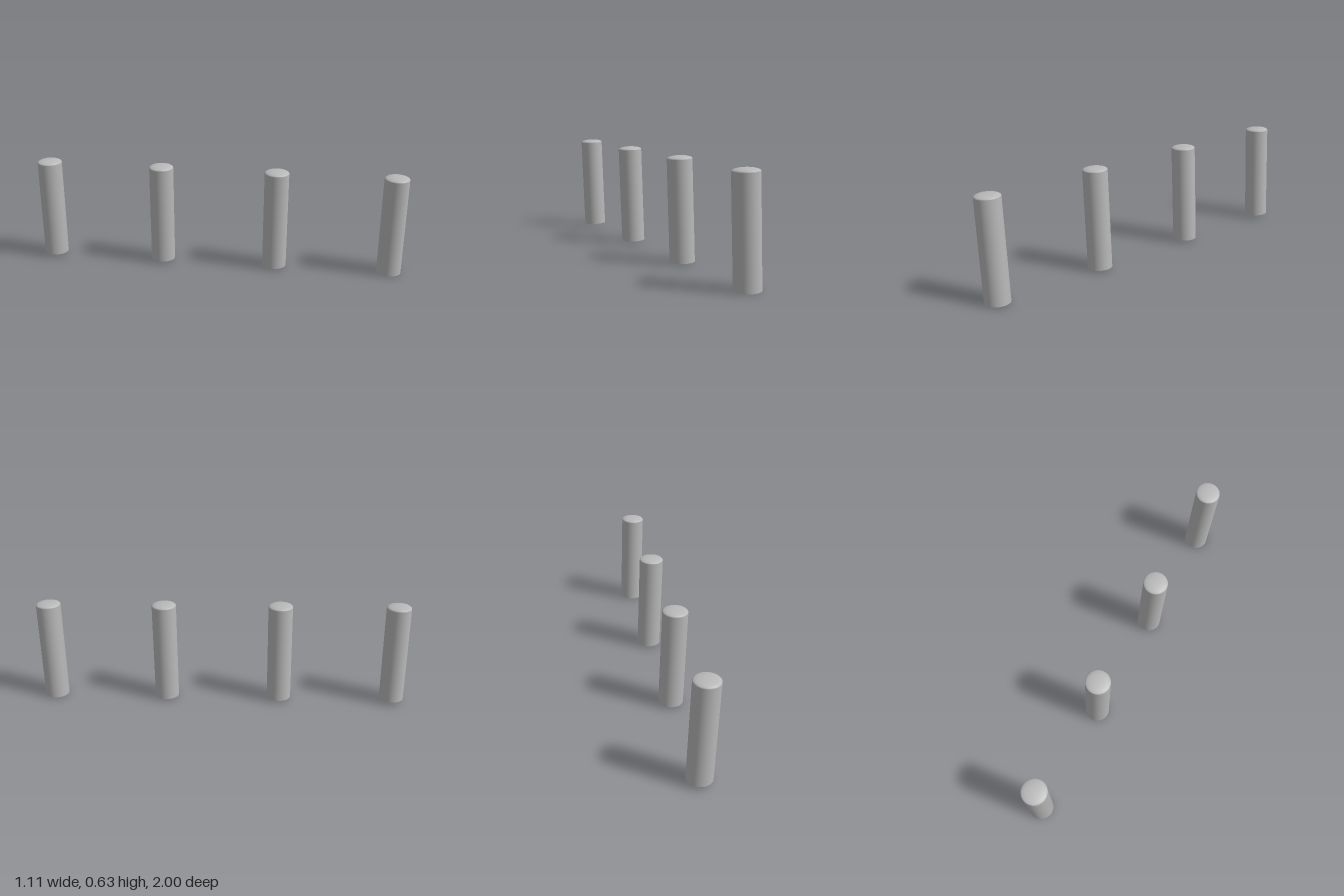
import * as THREE from 'three';

export function createModel() {
  const group = new THREE.Group();
  group.name = 'bollardRow';
  const grey = new THREE.MeshStandardMaterial({ color: 0xb8b8b8 });
  grey.name = 'grey';

  const radius = 0.072, shoulder = 0.588, height = 0.606, segments = 48;

  // straight shaft with a flat underside
  const shaftGeo = new THREE.CylinderGeometry(radius, radius, shoulder, segments, 1, true);
  shaftGeo.translate(0, shoulder / 2, 0);
  const baseGeo = new THREE.CircleGeometry(radius, segments);
  baseGeo.rotateX(Math.PI / 2);

  // shallow domed cap with a rounded rim
  const profile = [];
  for (let i = 0; i <= 12; i++) {
    const a = (i / 12) * Math.PI / 2;
    profile.push(new THREE.Vector2(
      i === 12 ? 0 : radius * Math.cos(a),
      shoulder + (height - shoulder) * Math.sin(a)));
  }
  const capGeo = new THREE.LatheGeometry(profile, segments);

  // all posts lean the same way
  const lean = new THREE.Vector3(-0.019, height, 0.016).normalize();
  const tilt = new THREE.Quaternion().setFromUnitVectors(new THREE.Vector3(0, 1, 0), lean);

  // four evenly spaced posts along a gently sloping diagonal
  const first = new THREE.Vector3(-0.463, 0.021, -0.928);
  const last = new THREE.Vector3(0.481, 0.003, 0.912);
  for (let i = 0; i < 4; i++) {
    const post = new THREE.Group();
    post.name = 'post' + (i + 1);
    for (const [name, geo] of [['shaft', shaftGeo], ['base', baseGeo], ['cap', capGeo]]) {
      const mesh = new THREE.Mesh(geo, grey);
      mesh.name = name;
      post.add(mesh);
    }
    post.position.lerpVectors(first, last, i / 3);
    post.quaternion.copy(tilt);
    group.add(post);
  }
  return group;
}
